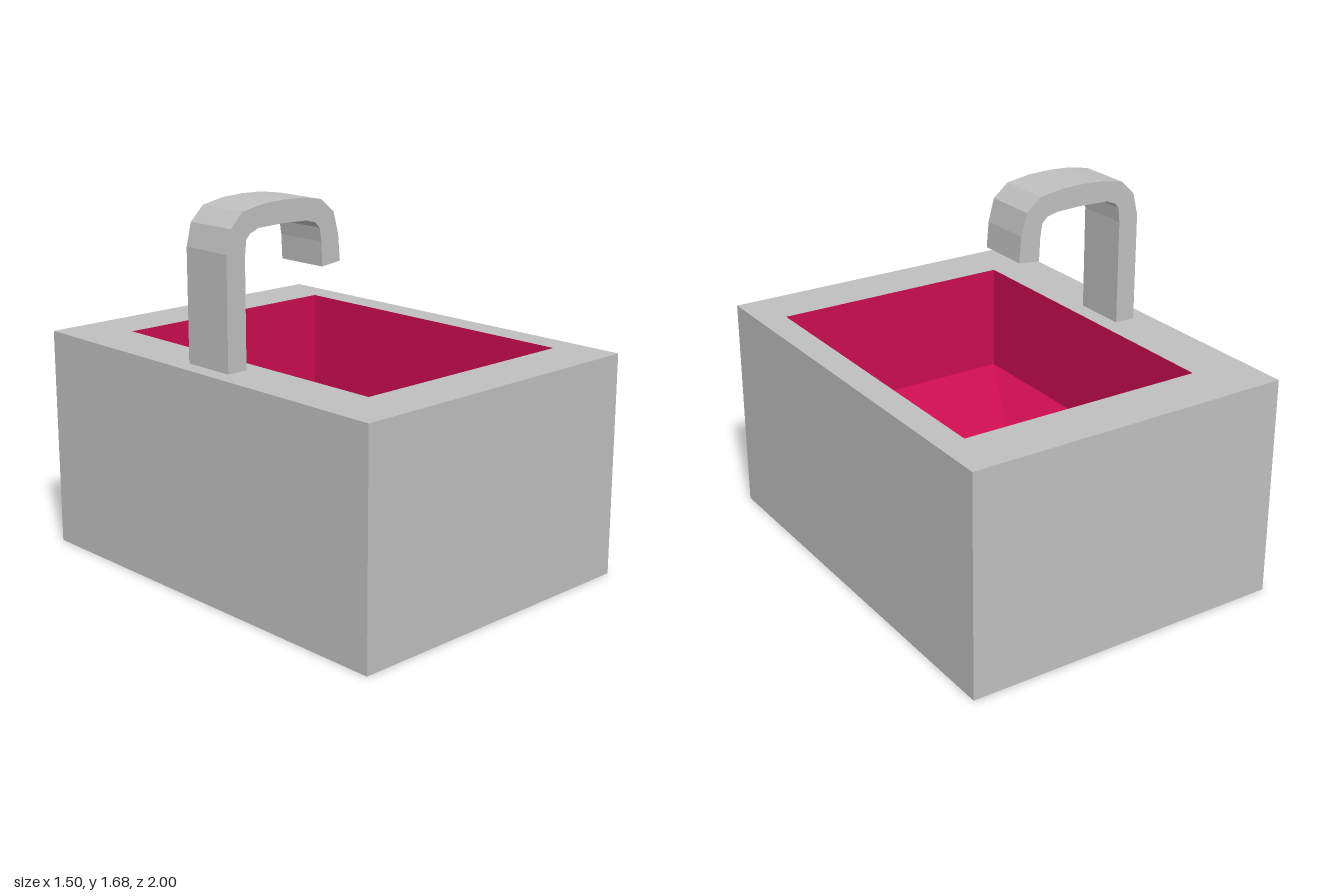
import * as THREE from 'three';

const gray = new THREE.MeshStandardMaterial({ name: 'stone gray', color: 0xc0c0c0 });
const pink = new THREE.MeshStandardMaterial({ name: 'basin pink', color: 0xcc0d50 });

// Joins rectangles [x0, x1, z0, z1, y] in order; can cap the first (facing down) and the last (facing up)
function rectLoft(name, rects, material, capFirst, capLast) {
  const rings = rects.map(([x0, x1, z0, z1, y]) => [[x0, y, z0], [x0, y, z1], [x1, y, z1], [x1, y, z0]]);
  const pos = [];
  const quad = (a, b, c, d) => pos.push(...a, ...b, ...c, ...a, ...c, ...d);
  for (let r = 0; r + 1 < rings.length; r++) {
    for (let i = 0; i < 4; i++) {
      const j = (i + 1) % 4;
      quad(rings[r][i], rings[r][j], rings[r + 1][j], rings[r + 1][i]);
    }
  }
  if (capFirst) quad(...[...rings[0]].reverse());
  if (capLast) quad(...rings[rings.length - 1]);
  const geometry = new THREE.BufferGeometry();
  geometry.setAttribute('position', new THREE.Float32BufferAttribute(pos, 3));
  geometry.computeVertexNormals();
  const mesh = new THREE.Mesh(geometry, material);
  mesh.name = name;
  return mesh;
}

export function createModel() {
  const model = new THREE.Group();
  model.name = 'sink';

  // Outer block: underside, four sides and the flat rim around the opening
  const opening = [-0.5, 0.625, -0.75, 0.75, 1];
  model.add(rectLoft('cabinet', [
    [-0.75, 0.75, -1, 1, 0],
    [-0.75, 0.75, -1, 1, 1],
    opening,
  ], gray, true, false));

  // Basin: upright walls, then a shallow funnel towards the drain
  const drainTop = [-0.25, 0.25, -0.25, 0.25, 0.375];
  model.add(rectLoft('basinWalls', [opening, [-0.5, 0.625, -0.75, 0.75, 0.5]], pink, false, false));
  model.add(rectLoft('basinFunnel', [[-0.5, 0.625, -0.75, 0.75, 0.5], drainTop], pink, false, false));

  // Square drain with slightly tapered sides
  model.add(rectLoft('drain', [drainTop, [-0.22, 0.22, -0.22, 0.22, 0.28]], pink, false, true));

  // Faucet: flat hooked profile, outer edge first, then back along the inner edge
  const profile = [
    [-0.675, 1], [-0.675, 1.49], [-0.65, 1.59], [-0.585, 1.653], [-0.48, 1.673], [-0.38, 1.678],
    [-0.27, 1.675], [-0.157, 1.658], [-0.087, 1.6], [-0.06, 1.5], [-0.05, 1.385],
    [-0.152, 1.373], [-0.157, 1.48], [-0.167, 1.54], [-0.193, 1.565], [-0.243, 1.578],
    [-0.37, 1.582], [-0.505, 1.578], [-0.55, 1.56], [-0.57, 1.538], [-0.578, 1.47], [-0.578, 1],
  ];
  const shape = new THREE.Shape(profile.map(([x, y]) => new THREE.Vector2(x, y)));
  const faucetGeometry = new THREE.ExtrudeGeometry(shape, { depth: 0.25, bevelEnabled: false });
  faucetGeometry.translate(0, 0, -0.125);
  const faucet = new THREE.Mesh(faucetGeometry, gray);
  faucet.name = 'faucet';
  model.add(faucet);

  return model;
}
